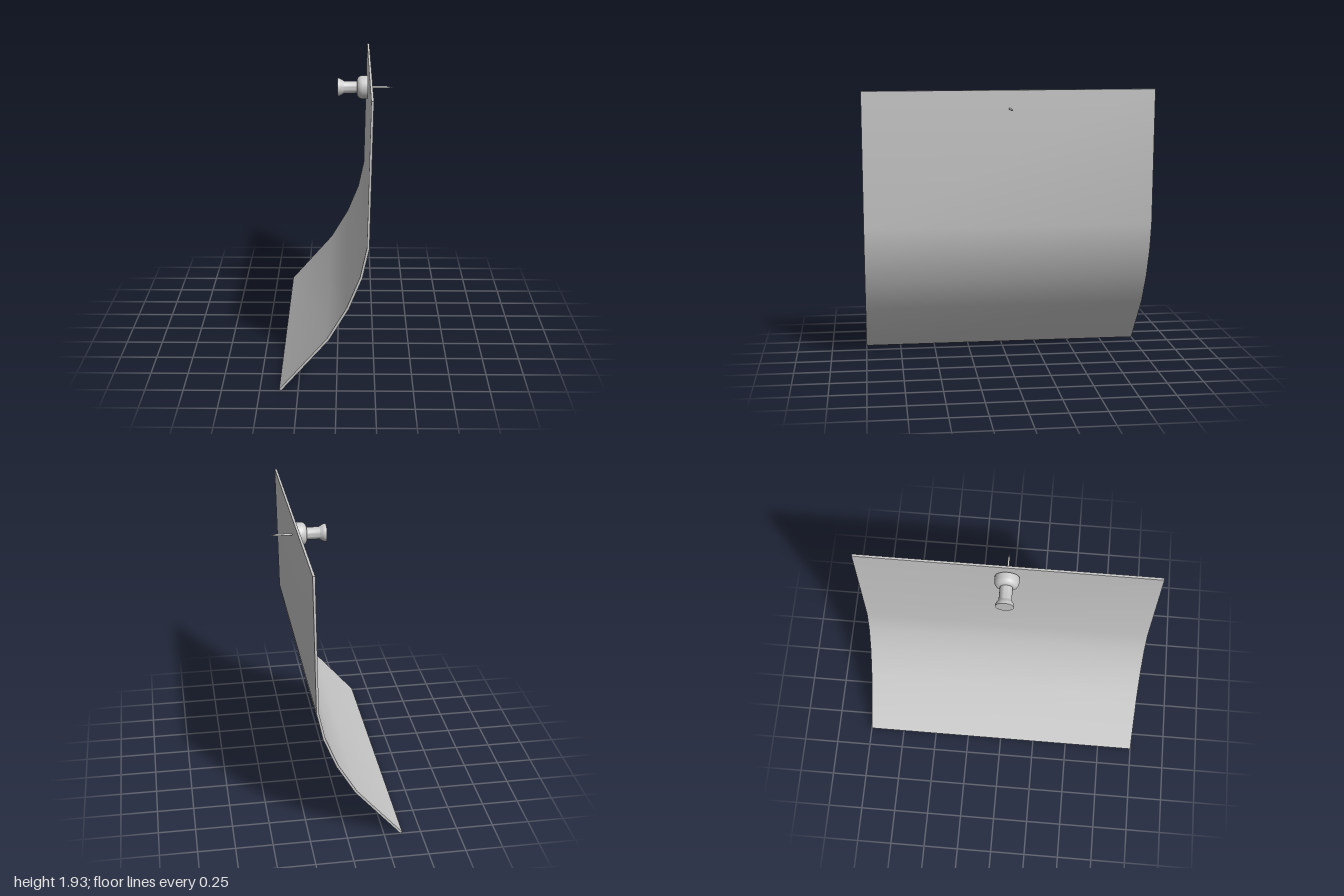
import * as THREE from 'three';
import { toCreasedNormals } from 'three/addons/utils/BufferGeometryUtils.js';

const material = new THREE.MeshStandardMaterial({ color: 0xcccccc });

// Outline of a strip of even thickness along a bent centre line
function stripShape(points, half) {
  const pts = points.map(([x, y]) => new THREE.Vector2(x, y));
  const left = [], right = [];
  pts.forEach((p, i) => {
    const before = p.clone().sub(pts[Math.max(i - 1, 0)]).normalize();
    const after = pts[Math.min(i + 1, pts.length - 1)].clone().sub(p).normalize();
    const dir = before.add(after).normalize();
    const normal = new THREE.Vector2(-dir.y, dir.x).multiplyScalar(half);
    left.push(p.clone().add(normal));
    right.push(p.clone().sub(normal));
  });
  return new THREE.Shape([...right, ...left.reverse()]);
}

// Turned part lying along x, from [radius, x] pairs
function turned(name, profile, sides) {
  const geometry = new THREE.LatheGeometry(profile.map(([r, x]) => new THREE.Vector2(r, x)), sides);
  geometry.rotateZ(-Math.PI / 2);
  const mesh = new THREE.Mesh(toCreasedNormals(geometry, 0.6), material);
  mesh.name = name;
  return mesh;
}

export function createModel() {
  const model = new THREE.Group();
  model.name = 'pinnedPaper';

  // Paper: upright at the top, curling out towards -x at the bottom
  const curl = [[-0.367, 0.006], [-0.055, 0.365], [0.072, 0.58], [0.157, 0.79], [0.199, 0.985], [0.219, 1.926]];
  const paperGeometry = new THREE.ExtrudeGeometry(stripShape(curl, 0.008), { depth: 2, bevelEnabled: false });
  paperGeometry.translate(0, 0, -1);
  const paper = new THREE.Mesh(toCreasedNormals(paperGeometry, 0.6), material);
  paper.name = 'paper';
  model.add(paper);

  // Push pin through the top of the paper
  const pin = new THREE.Group();
  pin.name = 'pushPin';
  pin.position.y = 1.8;
  pin.add(
    turned('pinHandle', [
      [0, -0.005], [0.061, -0.005], [0.061, 0.008], [0.054, 0.024], [0.043, 0.04], [0.042, 0.13],
      [0.056, 0.13], [0.069, 0.138], [0.078, 0.152], [0.081, 0.168], [0.081, 0.203], [0, 0.203],
    ], 32),
    turned('pinNeedle', [[0, 0.2], [0.007, 0.2], [0.007, 0.335], [0, 0.375]], 12),
  );
  model.add(pin);
  return model;
}
